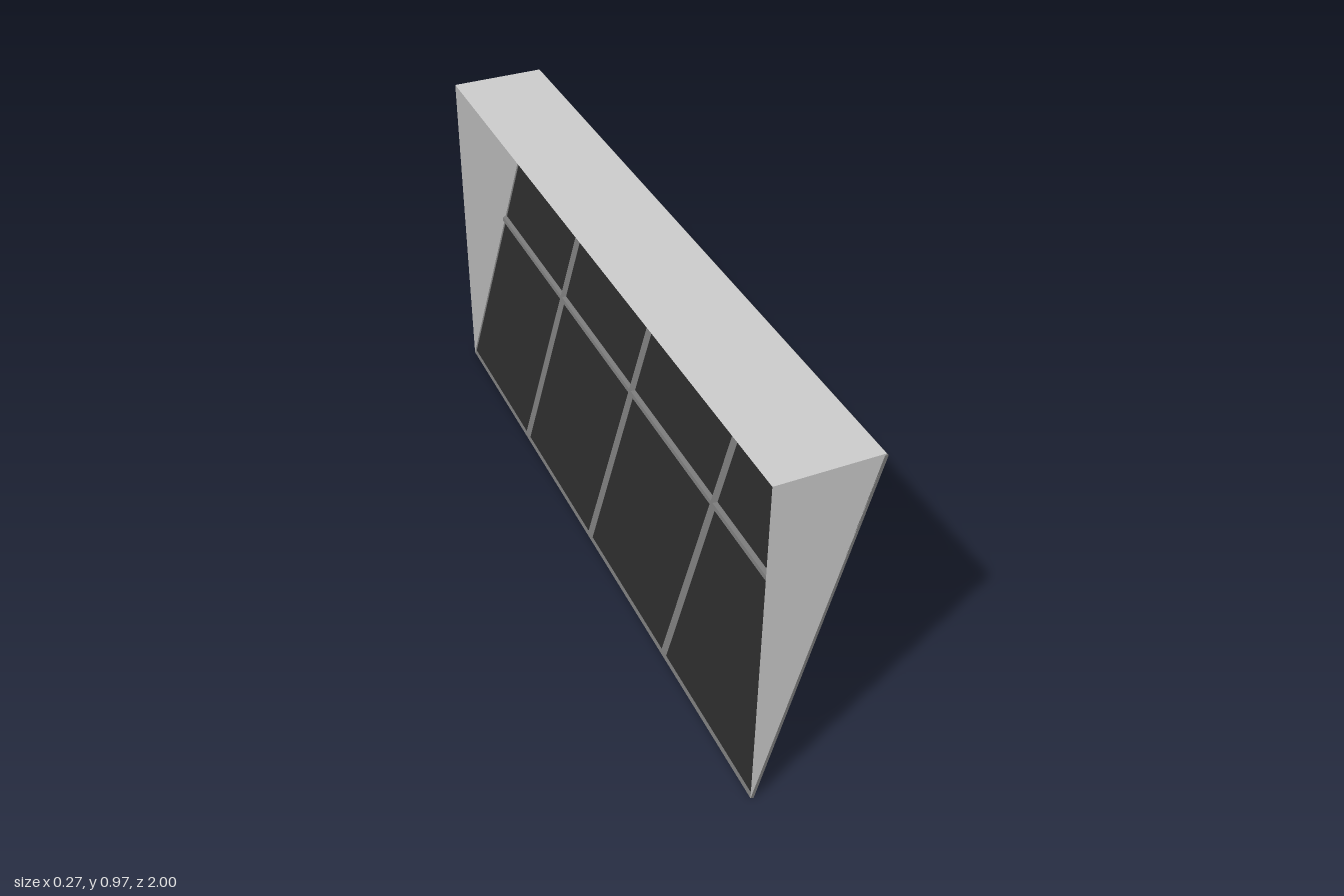
import * as THREE from 'three';

const LEFT = -0.135, RIGHT = 0.13, TOP = 0.97, HALF = 1;
const wallMat = new THREE.MeshStandardMaterial({ color: 0xcccccc, side: THREE.DoubleSide });
const frameMat = new THREE.MeshStandardMaterial({ color: 0x777777, flatShading: true });
const glassMat = new THREE.MeshStandardMaterial({ color: 0x2a2a2a });

function add(parent, name, geometry, material, x = 0, y = 0, z = 0) {
  const mesh = new THREE.Mesh(geometry, material);
  mesh.name = name;
  mesh.position.set(x, y, z);
  parent.add(mesh);
  return mesh;
}

// Bevelled glazing bar running along z, with +x facing out of the panel
function barGeometry(length, width) {
  const w = width / 2, core = w * 0.4;
  const profile = new THREE.Shape([
    [0, -w], [0.004, -core], [0.004, core], [0, w],
    [-0.004, w], [-0.012, core], [-0.012, -core], [-0.004, -w],
  ].map(([x, y]) => new THREE.Vector2(x, y)));
  return new THREE.ExtrudeGeometry(profile, { depth: length, bevelEnabled: false })
    .translate(0, 0, -length / 2);
}

export function createModel() {
  const model = new THREE.Group();
  model.name = 'slopedWindow';

  // Triangular cheeks and flat top; the back stays open
  const cheek = new THREE.Shape([
    new THREE.Vector2(LEFT, 0.005),
    new THREE.Vector2(RIGHT, TOP),
    new THREE.Vector2(LEFT, TOP),
  ]);
  for (const side of [-1, 1]) {
    const mesh = add(model, side > 0 ? 'frontCheek' : 'backCheek',
      new THREE.ShapeGeometry(cheek), wallMat, 0, 0, side * HALF);
    if (side < 0) {
      // Mirror the shape so that its outer face looks towards -z
      mesh.scale.z = -1;
    }
  }
  add(model, 'topPlate', new THREE.PlaneGeometry(RIGHT - LEFT, HALF * 2).rotateX(-Math.PI / 2),
    wallMat, (LEFT + RIGHT) / 2, TOP, 0);

  // Leaning glazed panel: local y runs up the slope, local x points outward
  const panel = new THREE.Group();
  panel.name = 'glazedPanel';
  const height = 0.995;
  panel.position.set(0, 0.485, 0);
  panel.rotation.z = -Math.atan2(0.262, 0.962);
  model.add(panel);

  // Outer frame
  const thick = 0.009, rail = 0.012, stile = 0.008;
  for (const s of [-1, 1]) {
    add(panel, s > 0 ? 'topRail' : 'bottomRail',
      new THREE.BoxGeometry(thick, rail, HALF * 2), frameMat, 0, s * (height - rail) / 2, 0);
    add(panel, s > 0 ? 'frontStile' : 'backStile',
      new THREE.BoxGeometry(thick, height - 2 * rail, stile), frameMat, 0, 0, s * (HALF - stile / 2));
  }

  // Dividing bars
  add(panel, 'middleBar', barGeometry(HALF * 2 - 0.002, 0.026), frameMat);
  for (const z of [-0.5, 0, 0.5]) {
    add(panel, 'uprightBar', barGeometry(height - 2 * rail, 0.024).rotateX(Math.PI / 2),
      frameMat, 0, 0, z);
  }

  // Two rows of four panes
  for (const row of [-1, 1]) {
    for (let col = 0; col < 4; col++) {
      add(panel, 'pane', new THREE.BoxGeometry(0.003, height / 2 - rail, 0.492),
        glassMat, -0.002, row * (height / 2 - rail) / 2, -0.75 + col * 0.5);
    }
  }
  return model;
}
